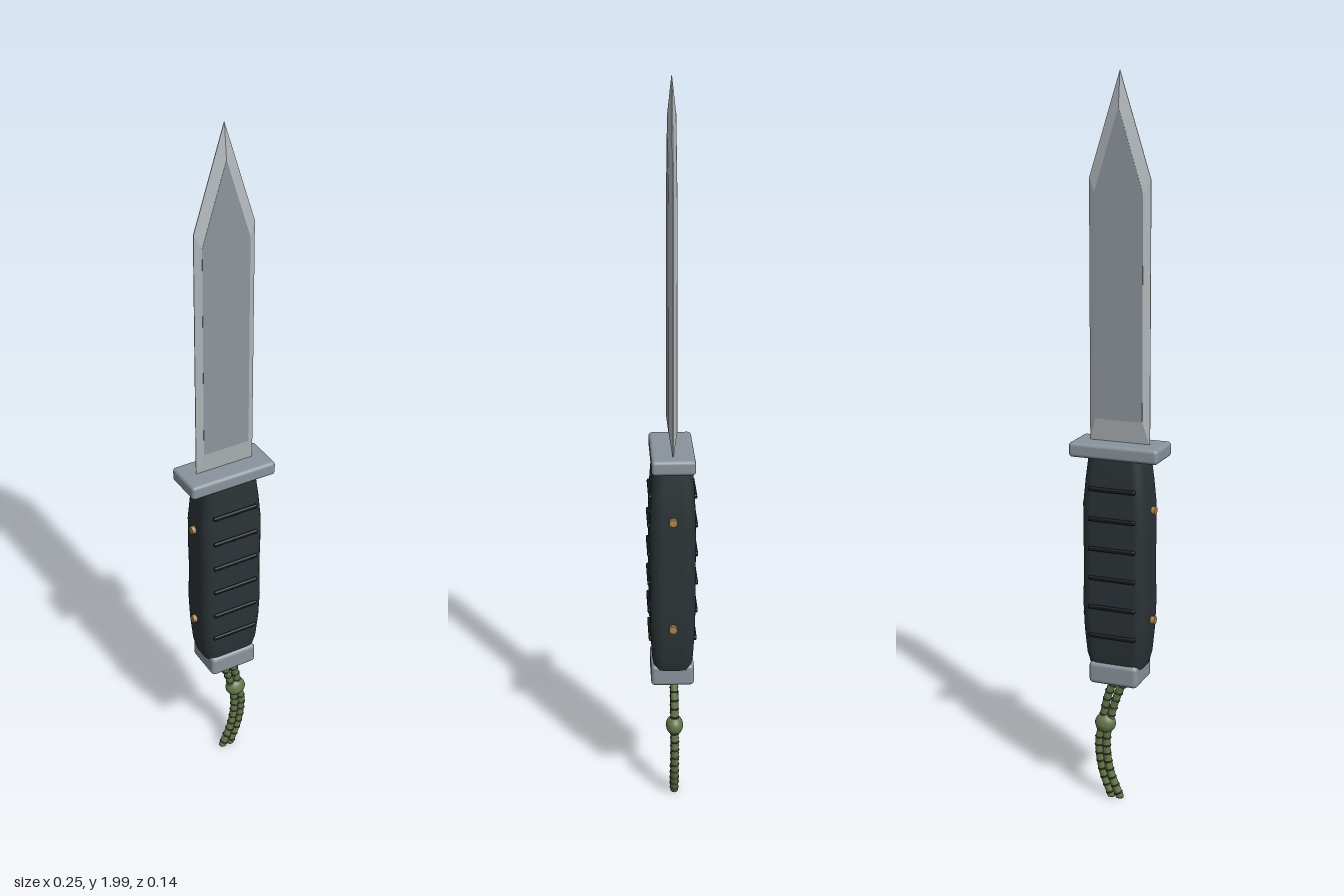
import * as THREE from 'three';
import { RoundedBoxGeometry } from 'three/addons/geometries/RoundedBoxGeometry.js';
import { ConvexGeometry } from 'three/addons/geometries/ConvexGeometry.js';

const mat = (color) => new THREE.MeshStandardMaterial({ color });
const steel = mat(0xb4babe), flatSteel = mat(0x8e969c), fitting = mat(0x8a949c);
const grip = mat(0x2b3336), ridge = mat(0x15191b), brass = mat(0xa8834c);
const cordGreen = mat(0x66774a), cordDark = mat(0x38432a);

// Half sizes of the grip: [y, half width, half depth]
const GRIP = [
  [0.415, 0.076, 0.05], [0.45, 0.084, 0.056], [0.52, 0.09, 0.06], [0.6, 0.093, 0.062],
  [0.7, 0.09, 0.062], [0.8, 0.092, 0.062], [0.87, 0.092, 0.061], [0.94, 0.086, 0.058], [1.005, 0.079, 0.053],
];

function gripSize(y) {
  let i = 0;
  while (i < GRIP.length - 2 && GRIP[i + 1][0] < y) i++;
  const a = GRIP[i], b = GRIP[i + 1], t = (y - a[0]) / (b[0] - a[0]);
  return [a[1] + (b[1] - a[1]) * t, a[2] + (b[2] - a[2]) * t];
}

// Rounded-rectangle rings joined from bottom to top
function gripGeometry() {
  const pos = [], idx = [], perCorner = 7, n = perCorner * 4, r = 0.032;
  for (const [y, w, d] of GRIP) {
    for (let c = 0; c < 4; c++) {
      const sx = c === 0 || c === 3 ? 1 : -1, sz = c < 2 ? 1 : -1;
      for (let k = 0; k < perCorner; k++) {
        const a = (c + k / (perCorner - 1)) * Math.PI / 2;
        pos.push(sx * (w - r) + r * Math.cos(a), y, sz * (d - r) + r * Math.sin(a));
      }
    }
  }
  for (let j = 0; j < GRIP.length - 1; j++) {
    for (let i = 0; i < n; i++) {
      const a = j * n + i, b = j * n + (i + 1) % n;
      idx.push(a, a + n, b, b, a + n, b + n);
    }
  }
  const g = new THREE.BufferGeometry();
  g.setAttribute('position', new THREE.Float32BufferAttribute(pos, 3));
  g.setIndex(idx);
  g.computeVertexNormals();
  return g;
}

export function createModel() {
  const model = new THREE.Group();
  model.name = 'knife';
  const add = (name, geo, material, x = 0, y = 0, z = 0, parent = model) => {
    const m = new THREE.Mesh(geo, material);
    m.name = name;
    m.position.set(x, y, z);
    parent.add(m);
    return m;
  };

  // Blade: sharp outline in the middle, smaller flat outline on each face
  const outer = [[-0.085, 1.035], [0.085, 1.035], [0.085, 1.73], [0, 2], [-0.085, 1.73]];
  const inner = [[-0.067, 1.1], [0.067, 1.1], [0.067, 1.695], [0, 1.91], [-0.067, 1.695]];
  const points = [];
  for (const s of [-1, 1]) {
    outer.forEach(([x, y]) => points.push(new THREE.Vector3(x, y, s * 0.001)));
    inner.forEach(([x, y]) => points.push(new THREE.Vector3(x, y, s * 0.011)));
  }
  add('bladeBevels', new ConvexGeometry(points), steel);
  const flat = new THREE.Shape(inner.map(([x, y]) => new THREE.Vector2(x, y)));
  add('bladeFlats', new THREE.ExtrudeGeometry(flat, { depth: 0.023, bevelEnabled: false }), flatSteel, 0, 0, -0.0115);

  // Guard and pommel
  add('guard', new RoundedBoxGeometry(0.252, 0.04, 0.116, 4, 0.01), fitting, 0, 1.02, 0);
  add('pommel', new RoundedBoxGeometry(0.14, 0.062, 0.118, 4, 0.012), fitting, 0, 0.396, 0);

  // Grip with raised bars on both faces
  add('grip', gripGeometry(), grip);
  for (const s of [-1, 1]) {
    for (let i = 0; i < 6; i++) {
      const y = 0.92 - i * 0.0825;
      add('gripBar', new RoundedBoxGeometry(0.134, 0.012, 0.012, 2, 0.004), ridge, 0, y, s * gripSize(y)[1]);
    }
    // Brass pins on the narrow sides
    for (const y of [0.86, 0.55]) {
      const pin = add('pin', new THREE.CylinderGeometry(0.011, 0.011, 0.024, 20), brass, s * 0.091, y, 0);
      pin.rotation.z = Math.PI / 2;
    }
  }

  // Lanyard: eyelet, two banded strands and a knot
  const lanyard = new THREE.Group();
  lanyard.name = 'lanyard';
  model.add(lanyard);
  add('eyelet', new THREE.TorusGeometry(0.022, 0.006, 10, 24), fitting, 0, 0.362, -0.004, lanyard);
  const up = new THREE.Vector3(0, 0, 1);
  const strands = [
    [[-0.012, 0.36], [0.008, 0.31], [0.03, 0.23], [0.038, 0.17], [0.028, 0.09], [-0.002, 0.012]],
    [[0.016, 0.36], [0.034, 0.31], [0.05, 0.23], [0.06, 0.17], [0.051, 0.09], [0.023, 0.012]],
  ];
  for (const path of strands) {
    const curve = new THREE.CatmullRomCurve3(path.map(([x, y]) => new THREE.Vector3(x, y, -0.006)));
    add('cordStrand', new THREE.TubeGeometry(curve, 48, 0.011, 12), cordGreen, 0, 0, 0, lanyard);
    for (let i = 0; i < 15; i++) {
      const u = (i + 0.5) / 15, p = curve.getPointAt(u);
      const band = add('cordBand', new THREE.TorusGeometry(0.0105, 0.0025, 6, 16), cordDark, p.x, p.y, p.z, lanyard);
      band.quaternion.setFromUnitVectors(up, curve.getTangentAt(u));
    }
    for (const u of [0, 1]) {
      const p = curve.getPointAt(u);
      add('cordEnd', new THREE.SphereGeometry(0.011, 12, 8), cordGreen, p.x, p.y, p.z, lanyard).scale.y = 0.4;
    }
  }
  const knot = add('knot', new THREE.SphereGeometry(0.03, 24, 16), cordGreen, 0.041, 0.23, -0.006, lanyard);
  knot.scale.set(1, 0.95, 0.8);
  const wrap = add('knotWrap', new THREE.TorusGeometry(0.023, 0.006, 8, 24), cordGreen, 0.041, 0.23, -0.006, lanyard);
  wrap.rotation.x = Math.PI / 2;
  wrap.rotation.y = 0.3;
  wrap.scale.y = 0.85;

  return model;
}
